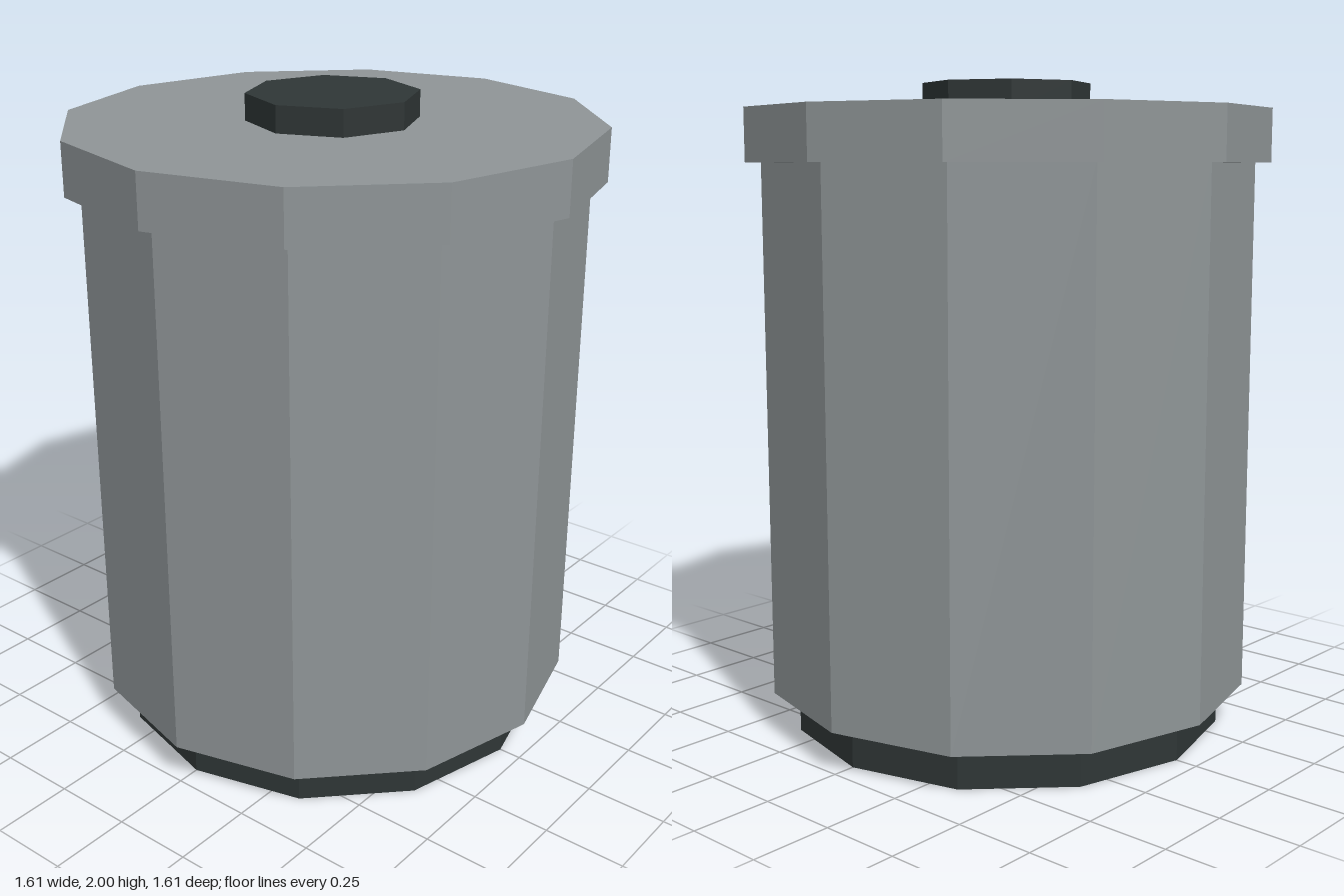
import * as THREE from 'three';

export function createModel() {
  const group = new THREE.Group();
  const grey = new THREE.MeshStandardMaterial({ color: 0x8f9597 });
  grey.name = 'metal grey';
  const dark = new THREE.MeshStandardMaterial({ color: 0x2f3636 });
  dark.name = 'dark rubber';
  grey.flatShading = dark.flatShading = true;

  // Faceted drum standing between two heights
  const drum = (name, radius, bottom, top, sides, material) => {
    const geometry = new THREE.CylinderGeometry(radius, radius, top - bottom, sides);
    const mesh = new THREE.Mesh(geometry, material);
    mesh.name = name;
    mesh.position.y = (bottom + top) / 2;
    group.add(mesh);
  };

  drum('base', 0.68, 0, 0.135, 12, dark);
  drum('body', 0.76, 0.13, 1.77, 12, grey);
  drum('lid', 0.807, 1.76, 1.92, 12, grey);
  drum('knob', 0.258, 1.91, 2, 8, dark);

  return group;
}
